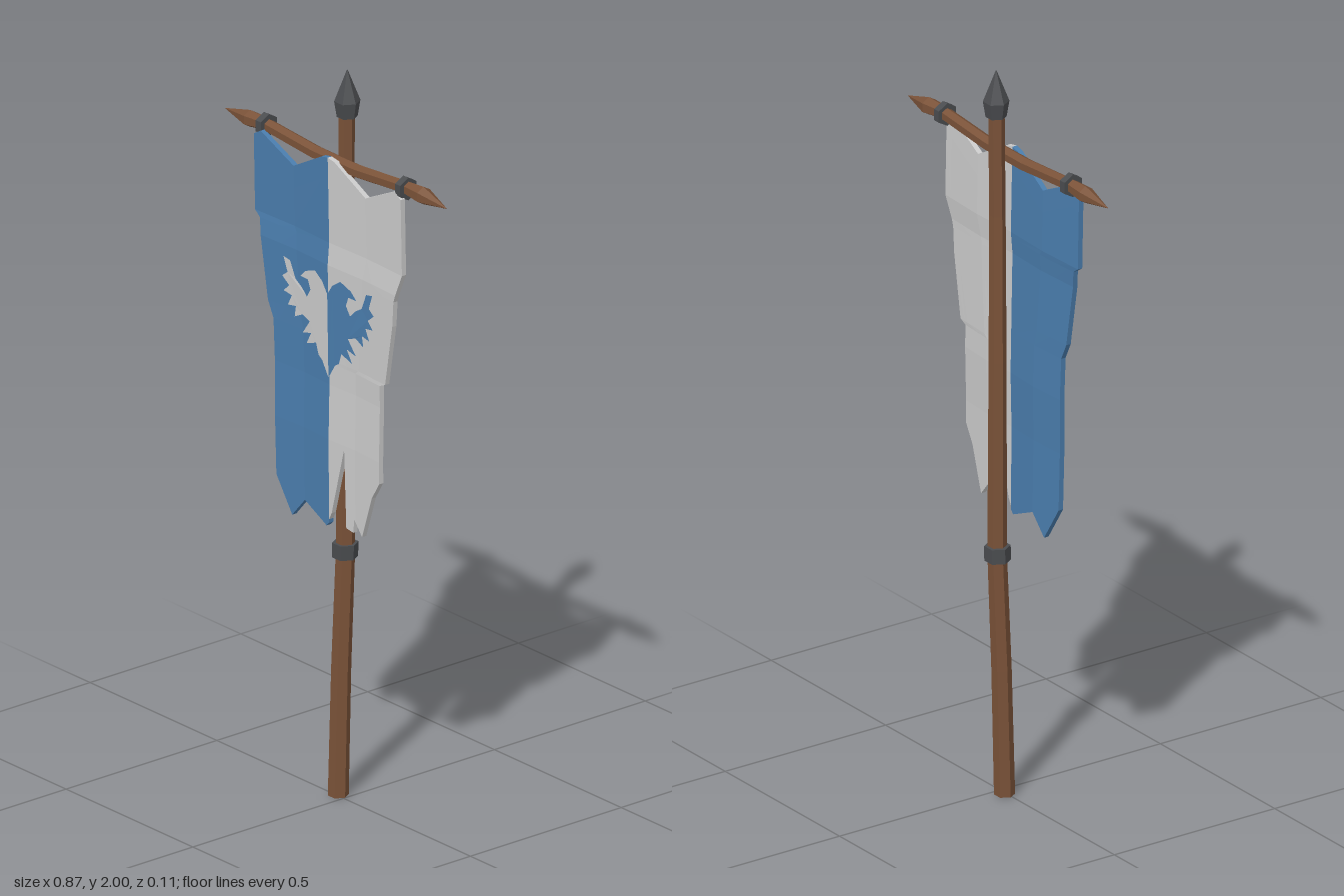
import * as THREE from 'three';

const paint = (color) => new THREE.MeshStandardMaterial({ color, flatShading: true, side: THREE.DoubleSide });
const wood = paint(0x7a5238), iron = paint(0x4a4c4f), blue = paint(0x4a7dad), grey = paint(0xcccccc);

// Piecewise-linear lookup in a table of [key, value], keys ascending
function lookup(table, k) {
  let i = 1;
  while (i < table.length - 1 && k > table[i][0]) i++;
  const [a, va] = table[i - 1], [b, vb] = table[i];
  return va + (vb - va) * THREE.MathUtils.clamp((k - a) / (b - a), 0, 1);
}

// Six-sided rod through stations [height, x, z, radius], listed from the top down
function rod(name, stations, material) {
  const n = stations.length - 1;
  const geometry = new THREE.CylinderGeometry(1, 1, 1, 6, n).rotateY(Math.PI / 6);
  const p = geometry.attributes.position;
  for (let i = 0; i < p.count; i++) {
    const [h, x, z, r] = stations[Math.round((0.5 - p.getY(i)) * n)];
    p.setXYZ(i, x + p.getX(i) * r, h, z + p.getZ(i) * r);
  }
  geometry.computeVertexNormals();
  const mesh = new THREE.Mesh(geometry, material);
  mesh.name = name;
  return mesh;
}

// Cloth halves: side = +1 or -1; tables run from the centre seam (0) to the outer edge (1)
const topEdge = [[0, 1.775], [0.09, 1.77], [0.49, 1.706], [0.91, 1.765], [1, 1.75]];
const halves = [
  {
    name: 'blueCloth', side: -1, material: blue, emblem: grey,
    hem: [[0, 0.77], [0.05, 0.76], [0.49, 0.8], [0.72, 0.745], [1, 0.84]],
    width: [[0.84, 0.206], [1, 0.21], [1.265, 0.217], [1.31, 0.238], [1.525, 0.27], [1.54, 0.291]],
  },
  {
    name: 'greyCloth', side: 1, material: grey, emblem: blue,
    hem: [[0, 0.78], [0.05, 0.8], [0.29, 0.99], [0.32, 0.775], [0.45, 0.77], [0.47, 0.807],
      [0.63, 0.77], [0.84, 0.89], [1, 0.94]],
    width: [[1, 0.2], [1.21, 0.2], [1.22, 0.222], [1.39, 0.254], [1.46, 0.26], [1.54, 0.288]],
  },
];

// Depth of the cloth: gentle waves down its length and a fold in each half
const waves = [[0.74, 0.041], [1, 0.043], [1.15, 0.04], [1.48, 0.046], [1.54, 0.041], [1.65, 0.043], [1.78, 0.046]];
const folds = [[0, 0], [0.49, -0.005], [1, 0.001]];
const depth = (y, u) => lookup(waves, y) + lookup(folds, u);
const THICK = 0.007;

function clothHalf({ name, side, material, hem, width }) {
  const us = [...new Set([...topEdge, ...hem].map((e) => e[0]))].sort((a, b) => a - b);
  const levels = [...new Set([1.54, 1.48, 1.15, 1, ...width.map((w) => w[0]).filter((y) => y > 1)])].sort((a, b) => b - a);
  const rows = levels.length + 3, cols = us.length, count = rows * cols;
  const points = [], faces = [];
  for (const offset of [THICK, -THICK]) {
    for (const u of us) {
      const top = lookup(topEdge, u);
      for (const y of [top, top - 0.06, ...levels, lookup(hem, u)]) {
        points.push(side * u * lookup(width, y), y, depth(y, u) + offset);
      }
    }
  }
  const tri = (a, b, c) => (side > 0 ? faces.push(a, b, c) : faces.push(a, c, b));
  const quad = (a, b, c, d) => { tri(a, b, c); tri(a, c, d); };
  const id = (i, j) => i * rows + j;
  // Front and back sheets
  for (let i = 0; i < cols - 1; i++) {
    for (let j = 0; j < rows - 1; j++) {
      const a = id(i, j), b = id(i, j + 1), c = id(i + 1, j + 1), d = id(i + 1, j);
      quad(a, b, c, d);
      quad(d + count, c + count, b + count, a + count);
    }
  }
  // Rim around the edge
  const loop = [];
  for (let j = 0; j < rows - 1; j++) loop.push(id(0, j));
  for (let i = 0; i < cols - 1; i++) loop.push(id(i, rows - 1));
  for (let j = rows - 1; j > 0; j--) loop.push(id(cols - 1, j));
  for (let i = cols - 1; i > 0; i--) loop.push(id(i, 0));
  loop.forEach((p, k) => {
    const q = loop[(k + 1) % loop.length];
    quad(p, p + count, q + count, q);
  });
  const indexed = new THREE.BufferGeometry();
  indexed.setAttribute('position', new THREE.Float32BufferAttribute(points, 3));
  indexed.setIndex(faces);
  const geometry = indexed.toNonIndexed();
  geometry.computeVertexNormals();
  const mesh = new THREE.Mesh(geometry, material);
  mesh.name = name;
  return mesh;
}

// Half of a heraldic bird, in hundredths: head, wing feathers, claw, tail
const bird = [[0, 140], [2, 143], [5, 145], [9, 143.5], [11, 141.5], [8, 141.5], [7, 139], [8.5, 136.5],
  [10.5, 138.5], [13, 140], [15, 144.5], [17.5, 145], [16, 141], [18, 139.5], [15.5, 137.5], [17.5, 135.5],
  [14.5, 135], [16, 132], [13, 132.5], [13.5, 129.5], [10.5, 131], [7.5, 130], [10.5, 126], [7, 127],
  [9, 123.5], [5, 125], [4, 122], [2.5, 121], [0, 117]];

function emblemHalf({ side, emblem, width }) {
  const shape = new THREE.Shape(bird.map(([x, y]) => new THREE.Vector2(side * x / 100, y / 100)));
  const geometry = new THREE.ShapeGeometry(shape);
  const p = geometry.attributes.position;
  for (let i = 0; i < p.count; i++) {
    const y = p.getY(i);
    p.setZ(i, depth(y, Math.abs(p.getX(i)) / lookup(width, y)) + THICK + 0.003);
  }
  geometry.computeVertexNormals();
  const mesh = new THREE.Mesh(geometry, emblem);
  mesh.name = side > 0 ? 'leftEmblemHalf' : 'rightEmblemHalf';
  return mesh;
}

export function createModel() {
  const model = new THREE.Group();
  model.name = 'banner';

  // Slightly crooked pole with iron collar and spearhead
  model.add(rod('pole', [[1.89, 0, -0.011, 0.021], [1.6, -0.003, -0.01, 0.021], [1.2, -0.012, -0.016, 0.023],
    [0.67, -0.02, -0.023, 0.025], [0.35, -0.025, -0.013, 0.026], [0, -0.027, -0.005, 0.027]], wood));
  model.add(rod('poleCollar', [[0.692, -0.021, -0.023, 0.034], [0.652, -0.022, -0.023, 0.034]], iron));
  model.add(rod('spearhead', [[2, 0, -0.012, 0.001], [1.915, 0, -0.012, 0.034], [1.872, 0, -0.012, 0.027]], iron));

  // Crossbar with sharpened ends, laid on its side (second value is minus the height)
  const bar = rod('crossbar', [[0.432, -1.765, 0.023, 0.001], [0.34, -1.771, 0.021, 0.024], [0.28, -1.774, 0.024, 0.018],
    [0.08, -1.757, 0.024, 0.019], [-0.08, -1.757, 0.024, 0.019], [-0.28, -1.772, 0.024, 0.018],
    [-0.34, -1.768, 0.025, 0.023], [-0.435, -1.765, 0.025, 0.001]], wood);
  bar.geometry.rotateZ(-Math.PI / 2);
  model.add(bar);

  // Rings holding the cloth
  for (const side of [1, -1]) {
    const x = side * 0.275;
    const ring = rod(side > 0 ? 'leftRing' : 'rightRing',
      [[x + 0.01, -1.772, 0.025, 0.031], [x - 0.01, -1.772, 0.025, 0.031]], iron);
    ring.geometry.rotateZ(-Math.PI / 2);
    model.add(ring);
  }

  // Two-coloured torn cloth with its counterchanged emblem
  for (const half of halves) model.add(clothHalf(half), emblemHalf(half));
  return model;
}
